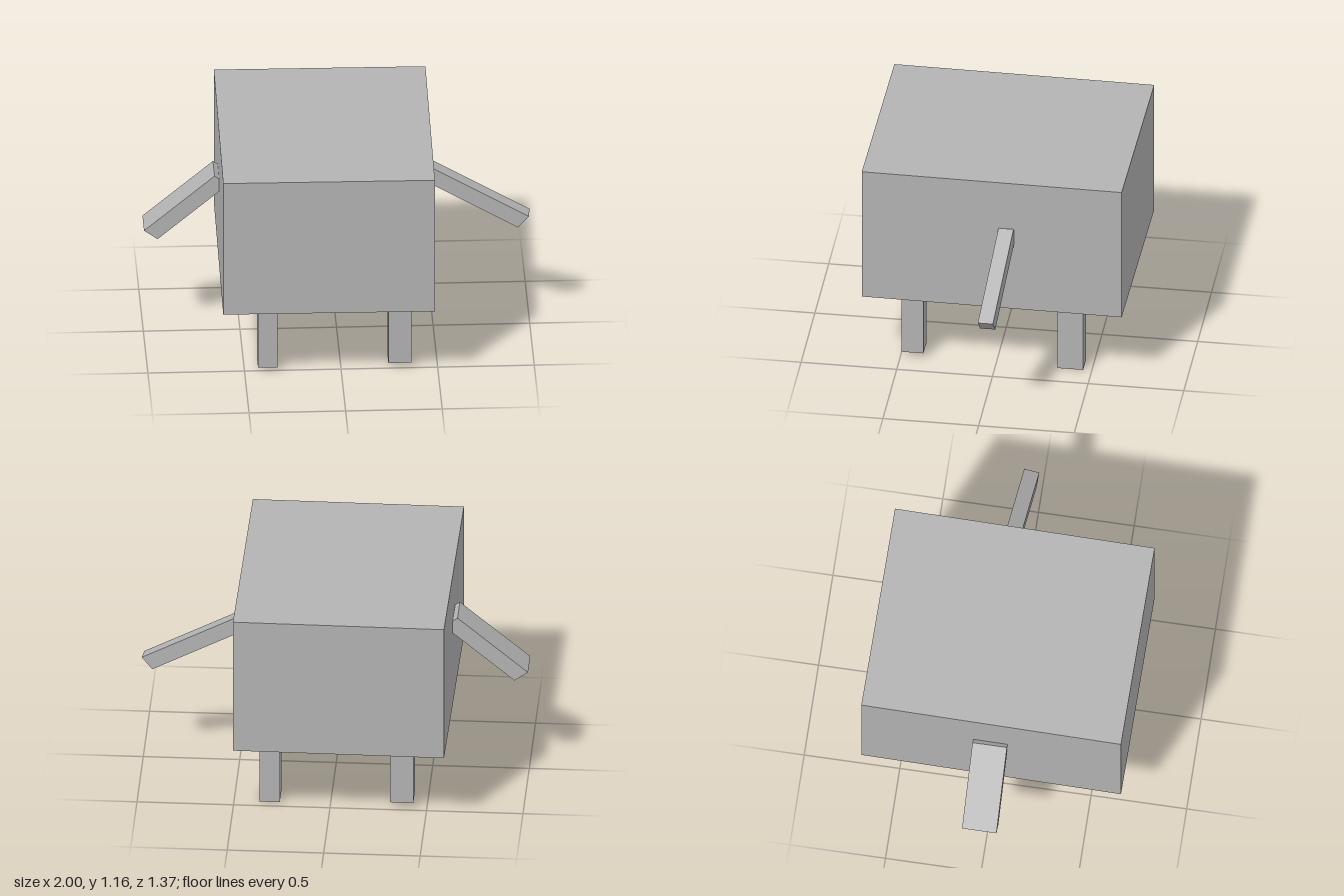
import * as THREE from 'three';

export function createModel() {
  const model = new THREE.Group();
  model.name = 'boxAnimal';
  const grey = new THREE.MeshStandardMaterial({ color: 0xb3b3b3 });
  grey.name = 'plain grey';

  // A block spanned by three edge vectors from one corner
  function block(name, corner, u, v, w) {
    const basis = new THREE.Matrix4()
      .makeBasis(new THREE.Vector3(...u), new THREE.Vector3(...v), new THREE.Vector3(...w))
      .setPosition(...corner);
    const geometry = new THREE.BoxGeometry(1, 1, 1).translate(0.5, 0.5, 0.5).applyMatrix4(basis);
    const mesh = new THREE.Mesh(geometry, grey);
    mesh.name = name;
    model.add(mesh);
    return mesh;
  }

  // Body, turned very slightly
  const body = new THREE.Mesh(new THREE.BoxGeometry(1.095, 0.752, 1.36), grey);
  body.name = 'body';
  body.position.set(-0.063, 0.786, 0);
  body.rotation.y = -0.011;
  model.add(body);

  // Legs, each a little different: x range, z range, foot height
  const legTop = 0.42;
  const legs = [
    ['frontLeftLeg', 0.245, 0.365, 0.38, 0.495, 0.027],
    ['frontRightLeg', -0.43, -0.33, 0.38, 0.505, 0.02],
    ['backLeftLeg', 0.263, 0.367, -0.455, -0.322, 0],
    ['backRightLeg', -0.43, -0.31, -0.475, -0.338, 0.03],
  ];
  for (const [name, x0, x1, z0, z1, y] of legs) {
    block(name, [x0, y, z0], [x1 - x0, 0, 0], [0, legTop - y, 0], [0, 0, z1 - z0]);
  }

  // Thin arm sloping down on the left, broad arm on the right
  block('leftArm', [0.443, 0.831, -0.115],
    [0.505, -0.275, 0.035], [0.055, 0.065, 0.005], [-0.008, -0.005, 0.08]);
  block('rightArm', [-0.93, 0.565, -0.1],
    [0.365, 0.305, 0], [-0.07, 0.05, 0], [0, 0, 0.18]);

  return model;
}
